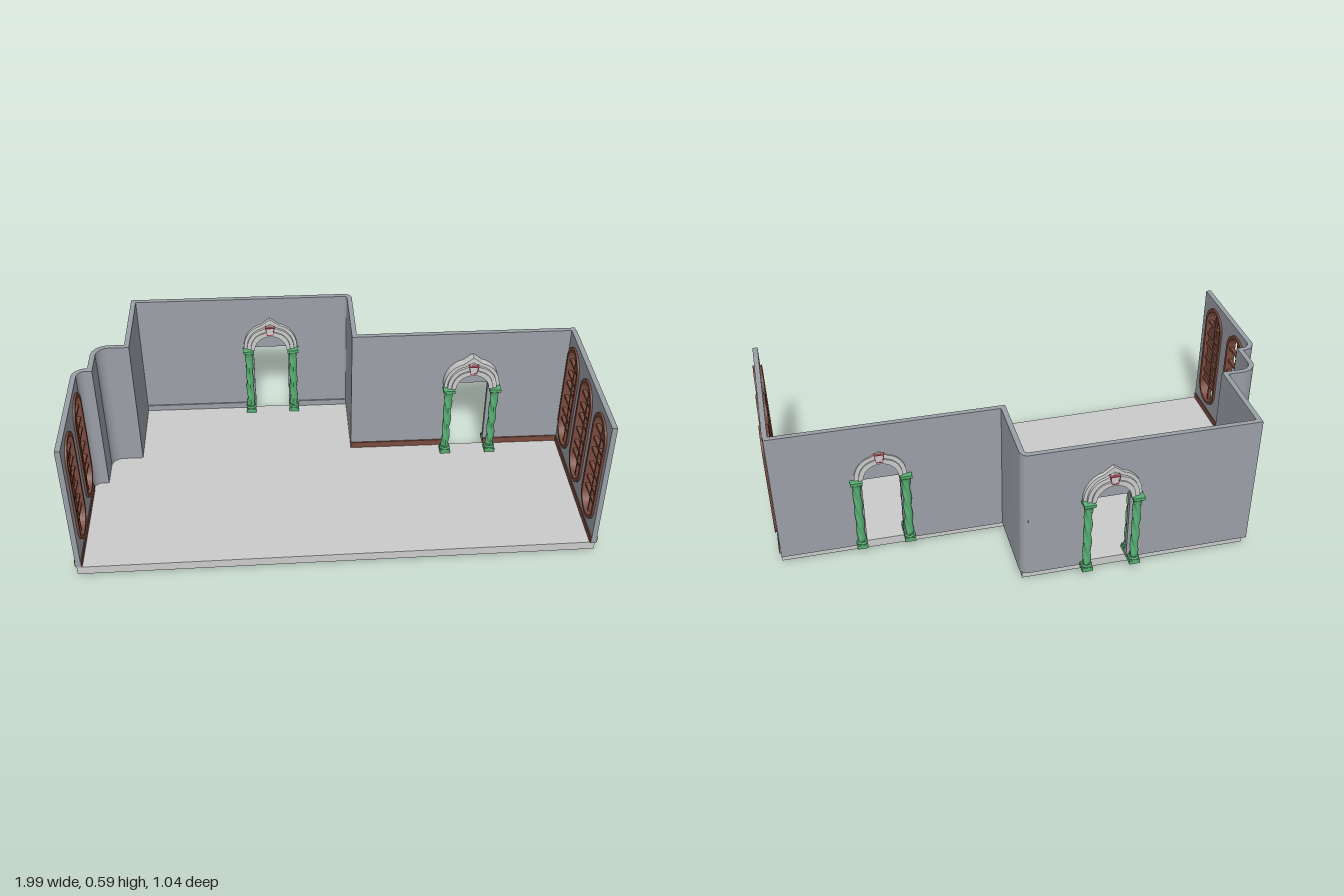
import * as THREE from 'three';
import { mergeGeometries, toCreasedNormals } from 'three/addons/utils/BufferGeometryUtils.js';

const mat = (color) => new THREE.MeshStandardMaterial({ color, side: THREE.DoubleSide });
const GREY = mat(0xcccccc), WALL = mat(0x9b9fa6), WOOD = mat(0x7a4a3d), GREEN = mat(0x58b074), RED = mat(0xb8485c);
const BASE = 0.035, TOP = 0.59, T = 0.02;

function add(parent, name, geo, material, x = 0, y = 0, z = 0) {
  const m = new THREE.Mesh(geo, material);
  m.name = name;
  m.position.set(x, y, z);
  parent.add(m);
  return m;
}
const box = (w, h, d, x, y, z) => new THREE.BoxGeometry(w, h, d).translate(x, y, z);
const v2 = (list) => list.map(([x, y]) => new THREE.Vector2(x, y));

// Extrude a shape, centred on its own plane
function slab(shape, depth) {
  return new THREE.ExtrudeGeometry(shape, { depth, bevelEnabled: false, curveSegments: 20 }).translate(0, 0, -depth / 2);
}

// Raise a floor plan, given as (x, z) points, between two heights
function raise(points, y0, y1) {
  const shape = new THREE.Shape(points.map((p) => new THREE.Vector2(p.x, -p.y)));
  const g = new THREE.ExtrudeGeometry(shape, { depth: y1 - y0, bevelEnabled: false });
  return g.rotateX(-Math.PI / 2).translate(0, y0, 0);
}

// Mitred offset of an open plan line
function offset(pts, d) {
  return pts.map((p, i) => {
    const a = pts[Math.max(i - 1, 0)], b = pts[Math.min(i + 1, pts.length - 1)];
    const u = (i ? p.clone().sub(a) : b.clone().sub(p)).normalize();
    const v = (i < pts.length - 1 ? b.clone().sub(p) : p.clone().sub(a)).normalize();
    const n = new THREE.Vector2(-u.y - v.y, u.x + v.x).normalize();
    return p.clone().addScaledVector(n, d / Math.max(0.5, n.dot(new THREE.Vector2(-u.y, u.x))));
  });
}
function ribbon(pts, thick, y0, y1) {
  const g = raise([...offset(pts, thick / 2), ...offset(pts, -thick / 2).reverse()], y0, y1);
  return toCreasedNormals(g, 0.6);
}

function stadium(Type, cx, cy, r, h) {
  const s = new Type(), k = h / 2 - r;
  s.moveTo(cx + r, cy - k);
  s.lineTo(cx + r, cy + k);
  s.absarc(cx, cy + k, r, 0, Math.PI, false);
  s.lineTo(cx - r, cy - k);
  s.absarc(cx, cy - k, r, Math.PI, Math.PI * 2, false);
  return s;
}

const WIN_Y = 0.325, WIN_R = 0.083, WIN_H = 0.47;

// Side wall lying along z, with oval openings and timber windows
function sideWall(name, x, z0, z1, windows) {
  const g = new THREE.Group();
  g.name = name;
  g.position.x = x;
  const shape = new THREE.Shape(v2([[z0, BASE], [z1, BASE], [z1, TOP], [z0, TOP]]));
  windows.forEach((z) => shape.holes.push(stadium(THREE.Path, z, WIN_Y, WIN_R - 0.006, WIN_H - 0.012)));
  add(g, 'wallPanel', slab(shape, T).rotateY(-Math.PI / 2), WALL);
  for (const z of windows) {
    const ring = stadium(THREE.Shape, 0, WIN_Y, WIN_R, WIN_H);
    ring.holes.push(stadium(THREE.Path, 0, WIN_Y, WIN_R - 0.014, WIN_H - 0.028));
    add(g, 'windowFrame', toCreasedNormals(slab(ring, 0.036).rotateY(-Math.PI / 2), 0.6), WOOD, 0, 0, z);
    const bars = [box(0.012, WIN_H - 0.02, 0.01, 0, WIN_Y, 0)];
    for (const y of [0.18, 0.225, 0.29, 0.36, 0.41, 0.47]) bars.push(box(0.016, 0.011, 2 * WIN_R - 0.016, 0, y, 0));
    add(g, 'windowBars', mergeGeometries(bars), WOOD, 0, 0, z);
  }
  add(g, 'skirting', box(T + 0.008, 0.026, z1 - z0 - 0.006, 0, 0.048, (z0 + z1) / 2), WOOD);
  return g;
}

// Back wall lying along x, with a doorway cut up from the floor
function backWall(name, x0, x1, z, doorX) {
  const a = doorX - 0.073, b = doorX + 0.073;
  const shape = new THREE.Shape(v2([[x0, BASE], [a, BASE], [a, 0.352], [b, 0.352], [b, BASE], [x1, BASE], [x1, TOP], [x0, TOP]]));
  const m = new THREE.Mesh(slab(shape, T), WALL);
  m.name = name;
  m.position.z = z;
  return m;
}

// Spiral column with turned base and capital
function columnGeometry() {
  const shaft = new THREE.CylinderGeometry(0.015, 0.015, 0.27, 24, 40, true);
  const p = shaft.attributes.position;
  for (let i = 0; i < p.count; i++) {
    const k = 1 + 0.17 * Math.cos(3 * Math.atan2(p.getZ(i), p.getX(i)) - p.getY(i) * 75);
    p.setXYZ(i, p.getX(i) * k, p.getY(i), p.getZ(i) * k);
  }
  shaft.computeVertexNormals();
  shaft.translate(0, 0.195, 0);
  const turned = (pts) => toCreasedNormals(new THREE.LatheGeometry(v2(pts), 16), 0.6).toNonIndexed();
  const foot = turned([[0, 0.052], [0.021, 0.052], [0.022, 0.058], [0.017, 0.062], [0.018, 0.068], [0, 0.07]]);
  const cap = turned([[0, 0.32], [0.017, 0.32], [0.016, 0.33], [0.019, 0.338], [0.023, 0.345], [0, 0.345]]);
  return mergeGeometries([
    shaft.toNonIndexed(), foot, cap,
    box(0.042, 0.017, 0.042, 0, 0.0435, 0).toNonIndexed(),
    box(0.046, 0.012, 0.042, 0, 0.35, 0).toNonIndexed(),
  ]);
}

// Slightly pointed arch band
function archBand(r, top, hole, depth) {
  const y = 0.355, s = new THREE.Shape();
  s.moveTo(r, y);
  s.bezierCurveTo(r, y + r * 0.62, r * 0.62, y + r * 0.92, r * 0.34, y + r * 0.98);
  s.quadraticCurveTo(r * 0.12, top - 0.008, 0, top);
  s.quadraticCurveTo(-r * 0.12, top - 0.008, -r * 0.34, y + r * 0.98);
  s.bezierCurveTo(-r * 0.62, y + r * 0.92, -r, y + r * 0.62, -r, y);
  s.lineTo(-hole, y);
  s.absarc(0, y, hole, Math.PI, 0, true);
  s.lineTo(r, y);
  return toCreasedNormals(slab(s, depth), 0.6);
}

function doorway(name, x, z) {
  const g = new THREE.Group();
  g.name = name;
  g.position.set(x, 0, z);
  const column = columnGeometry();
  for (const sx of [-1, 1]) for (const sz of [-1, 1]) add(g, 'column', column, GREEN, sx * 0.094, 0, sz * 0.034);
  add(g, 'outerArch', archBand(0.113, 0.495, 0.09, 0.05), GREY);
  add(g, 'middleArch', archBand(0.1, 0.473, 0.078, 0.072), GREY);
  add(g, 'innerArch', archBand(0.084, 0.452, 0.067, 0.084), GREY);
  // Keystones with a coloured rim on both faces
  const stone = (k) => v2([[-0.013 * k, -0.018 * k], [0.013 * k, -0.018 * k], [0.02 * k, 0.018 * k], [-0.02 * k, 0.018 * k]]);
  const rim = new THREE.Shape(stone(1));
  rim.holes.push(new THREE.Path(stone(0.82)));
  add(g, 'keystone', slab(new THREE.Shape(stone(0.9)), 0.086), GREY, 0, 0.447, 0);
  add(g, 'keystoneRim', slab(rim, 0.09), RED, 0, 0.447, 0);
  return g;
}

export function createModel() {
  const root = new THREE.Group();
  root.name = 'room';

  // Wall line on the left: recess, rounded pier and rounded return
  const bend = new THREE.Path();
  bend.moveTo(-0.795, -0.466);
  bend.lineTo(-0.795, -0.132);
  bend.lineTo(-0.865, -0.132);
  bend.absarc(-0.865, -0.076, 0.056, -Math.PI / 2, -Math.PI, true);
  bend.lineTo(-0.921, 0.022);
  bend.lineTo(-0.934, 0.022);
  bend.absarc(-0.934, 0.066, 0.044, -Math.PI / 2, -Math.PI, true);
  const line = bend.getPoints(10).filter((p, i, a) => !i || p.distanceTo(a[i - 1]) > 1e-5);
  add(root, 'leftBendWall', ribbon(line, T, BASE, TOP), WALL);

  // Floor follows the wall line
  const floor = [...v2([[-0.985, 0.515], [0.985, 0.49], [0.985, -0.143], [0.1, -0.143], [0.1, -0.458]]), ...line.map((p) => new THREE.Vector2(p.x, Math.max(p.y, -0.458)))];
  add(root, 'floor', raise(floor, 0, BASE), GREY);

  // Back walls and the rounded step between them
  root.add(backWall('leftBackWall', -0.805, 0.082, -0.466, -0.235));
  root.add(backWall('rightBackWall', 0.09, 0.985, -0.154, 0.578));
  const step = new THREE.Path();
  step.moveTo(0.078, -0.466);
  step.absarc(0.078, -0.444, 0.022, -Math.PI / 2, 0, false);
  step.lineTo(0.1, -0.144);
  add(root, 'stepWall', ribbon(step.getPoints(6).filter((p, i, a) => !i || p.distanceTo(a[i - 1]) > 1e-5), T, BASE, TOP), WALL);

  // Window walls
  root.add(sideWall('rightWindowWall', 0.978, -0.144, 0.495, [-0.045, 0.17, 0.385]));
  root.add(sideWall('leftWindowWall', -0.978, 0.066, 0.515, [0.152, 0.388]));

  // Broken panel in the front left window
  const panel = new THREE.Shape(v2([[0.385, 0.555], [0.405, 0.555], [0.425, 0.46], [0.467, 0.425], [0.467, 0.175],
    [0.312, 0.175], [0.35, 0.28], [0.312, 0.295], [0.355, 0.4], [0.312, 0.43], [0.37, 0.46]]));
  add(root, 'brokenPanel', new THREE.ShapeGeometry(panel).rotateY(-Math.PI / 2), WOOD, -0.978);

  // Skirting inside the back walls, broken at the doorways
  const skirt = (x0, x1, z, m) => add(root, 'backSkirting', box(x1 - x0, 0.026, 0.006, (x0 + x1) / 2, 0.048, z), m);
  skirt(0.09, 0.505, -0.142, WOOD);
  skirt(0.651, 0.968, -0.142, WOOD);
  skirt(-0.785, -0.308, -0.454, WALL);
  skirt(-0.162, 0.09, -0.454, WALL);

  root.add(doorway('leftDoorway', -0.235, -0.466));
  root.add(doorway('rightDoorway', 0.578, -0.134));
  return root;
}
